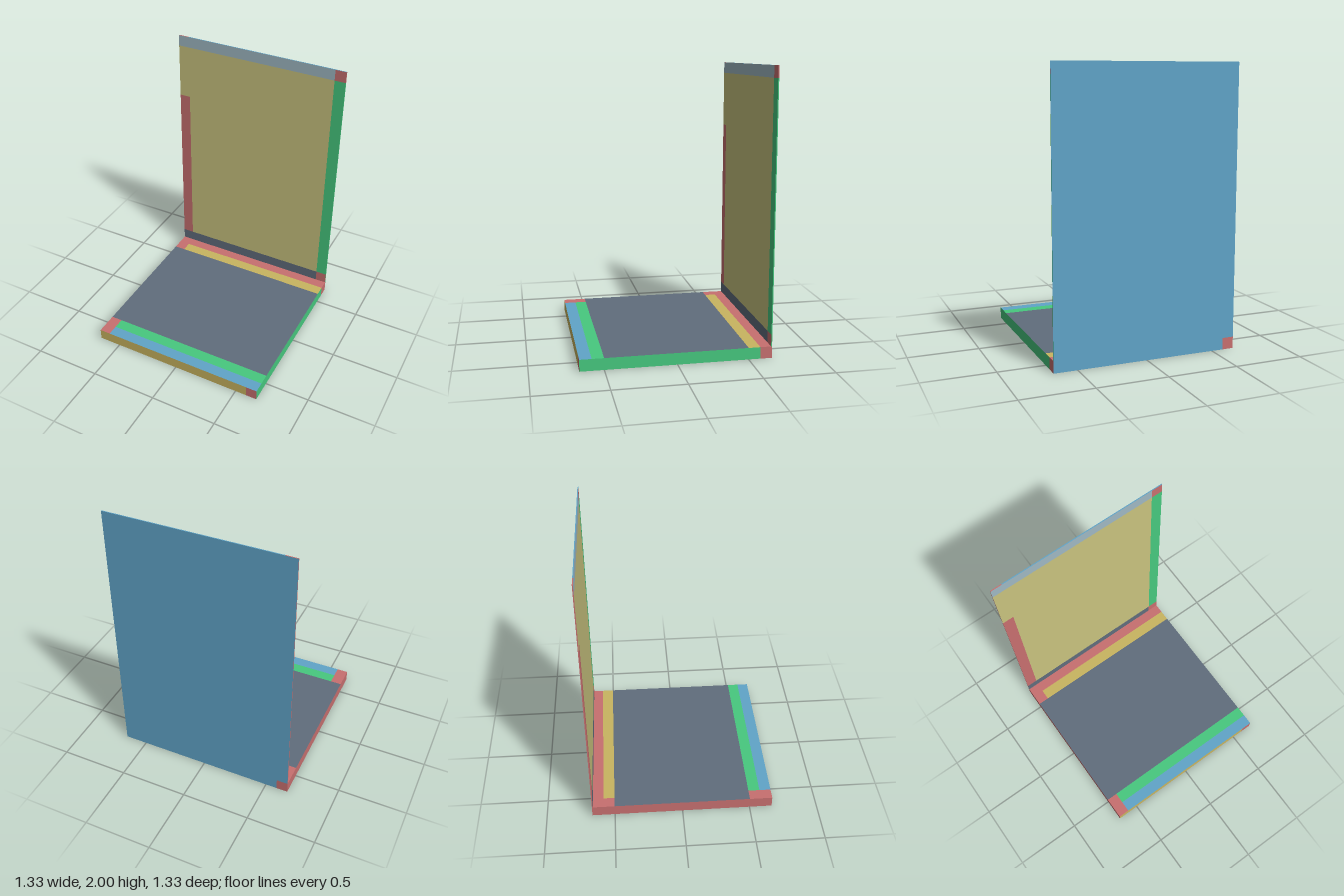
import * as THREE from 'three';

const flat = (name, color) => Object.assign(new THREE.MeshStandardMaterial({ color }), { name });

// Rotation of a tile and where its (u, v, depth) go, for each outward direction
const SIDES = {
  front: { rot: [0, 0, 0], pos: (u, v, d) => [u, v, d] },
  back: { rot: [0, Math.PI, 0], pos: (u, v, d) => [u, v, d] },
  left: { rot: [0, Math.PI / 2, 0], pos: (u, v, d) => [d, v, u] },
  right: { rot: [0, -Math.PI / 2, 0], pos: (u, v, d) => [d, v, u] },
  top: { rot: [-Math.PI / 2, 0, 0], pos: (u, v, d) => [u, d, v] },
  bottom: { rot: [Math.PI / 2, 0, 0], pos: (u, v, d) => [u, d, v] },
};

export function createModel() {
  const red = flat('red', 0xc87070);
  const green = flat('green', 0x47c97f);
  const blue = flat('blue', 0x60a5c9);
  const yellow = flat('yellow', 0xc9b560);
  const olive = flat('olive', 0xc9c47f);
  const paleBlue = flat('pale blue', 0xa0b9c3);
  const slate = flat('slate', 0x616d7d);

  const P = 1 / 12;      // width of one colour band
  const E = 2 / 3;       // half width of the model
  const I = E - P;       // inner edge of the outer band
  const T = 0.007;       // panel thickness
  const F = -E + T;      // front face of the panel

  const model = new THREE.Group();
  model.name = 'slabWithUprightPanel';

  // Coloured rectangle on one side of a part
  function tile(part, name, material, side, depth, u0, u1, v0, v1) {
    const mesh = new THREE.Mesh(new THREE.PlaneGeometry(u1 - u0, v1 - v0), material);
    mesh.name = name;
    mesh.rotation.set(...SIDES[side].rot);
    mesh.position.set(...SIDES[side].pos((u0 + u1) / 2, (v0 + v1) / 2, depth));
    part.add(mesh);
  }

  // Base slab: the same bands on its top and underside
  const base = new THREE.Group();
  base.name = 'baseSlab';
  for (const [side, y] of [['top', P], ['bottom', 0]]) {
    tile(base, side + 'BackBand', red, side, y, -E, E, -E, -I);
    tile(base, side + 'BackCorner', red, side, y, -E, -I, -I, -0.5);
    tile(base, side + 'YellowBand', yellow, side, y, -I, E, -I, -0.5);
    tile(base, side + 'Field', slate, side, y, -E, E, -0.5, 0.5);
    tile(base, side + 'FrontCorner', red, side, y, -E, -I, 0.5, E);
    tile(base, side + 'GreenBand', green, side, y, -I, E, 0.5, I);
    tile(base, side + 'BlueBand', blue, side, y, -I, E, I, E);
  }
  // Base edges
  tile(base, 'frontEdge', yellow, 'front', E, -E, I, 0, P);
  tile(base, 'frontEdgeEnd', red, 'front', E, I, E, 0, P);
  tile(base, 'leftEdge', green, 'left', E, -I, E, 0, P);
  tile(base, 'leftEdgeEnd', red, 'left', E, -E, -I, 0, P);
  tile(base, 'rightEdge', red, 'right', -E, -E, E, 0, P);
  tile(base, 'backEdge', blue, 'back', -E, -I, E, 0, P);
  tile(base, 'backEdgeEnd', red, 'back', -E, -E, -I, 0, P);
  model.add(base);

  // Upright panel: front face
  const panel = new THREE.Group();
  panel.name = 'uprightPanel';
  tile(panel, 'lowerBand', slate, 'front', F, -E, I, P, 2 * P);
  tile(panel, 'lowerCorner', red, 'front', F, I, E, P, 2 * P);
  tile(panel, 'sideStripe', red, 'front', F, -E, -I, 2 * P, 1.5);
  tile(panel, 'sideField', olive, 'front', F, -E, -I, 1.5, 2 - P);
  tile(panel, 'field', olive, 'front', F, -I, I, 2 * P, 2 - P);
  tile(panel, 'greenStripe', green, 'front', F, I, E, 2 * P, 2 - P);
  tile(panel, 'upperBand', paleBlue, 'front', F, -E, I, 2 - P, 2);
  tile(panel, 'upperCorner', red, 'front', F, I, E, 2 - P, 2);
  // Panel back and thin edges
  tile(panel, 'backFace', blue, 'back', -E, -E, E, P, 2);
  tile(panel, 'topEdge', blue, 'top', 2, -I, E, -E, F);
  tile(panel, 'topEdgeEnd', red, 'top', 2, -E, -I, -E, F);
  tile(panel, 'leftThinEdge', green, 'left', E, -E, F, P, 2 - P);
  tile(panel, 'leftThinEdgeEnd', red, 'left', E, -E, F, 2 - P, 2);
  tile(panel, 'rightThinEdge', red, 'right', -E, -E, F, P, 2);
  model.add(panel);

  return model;
}
